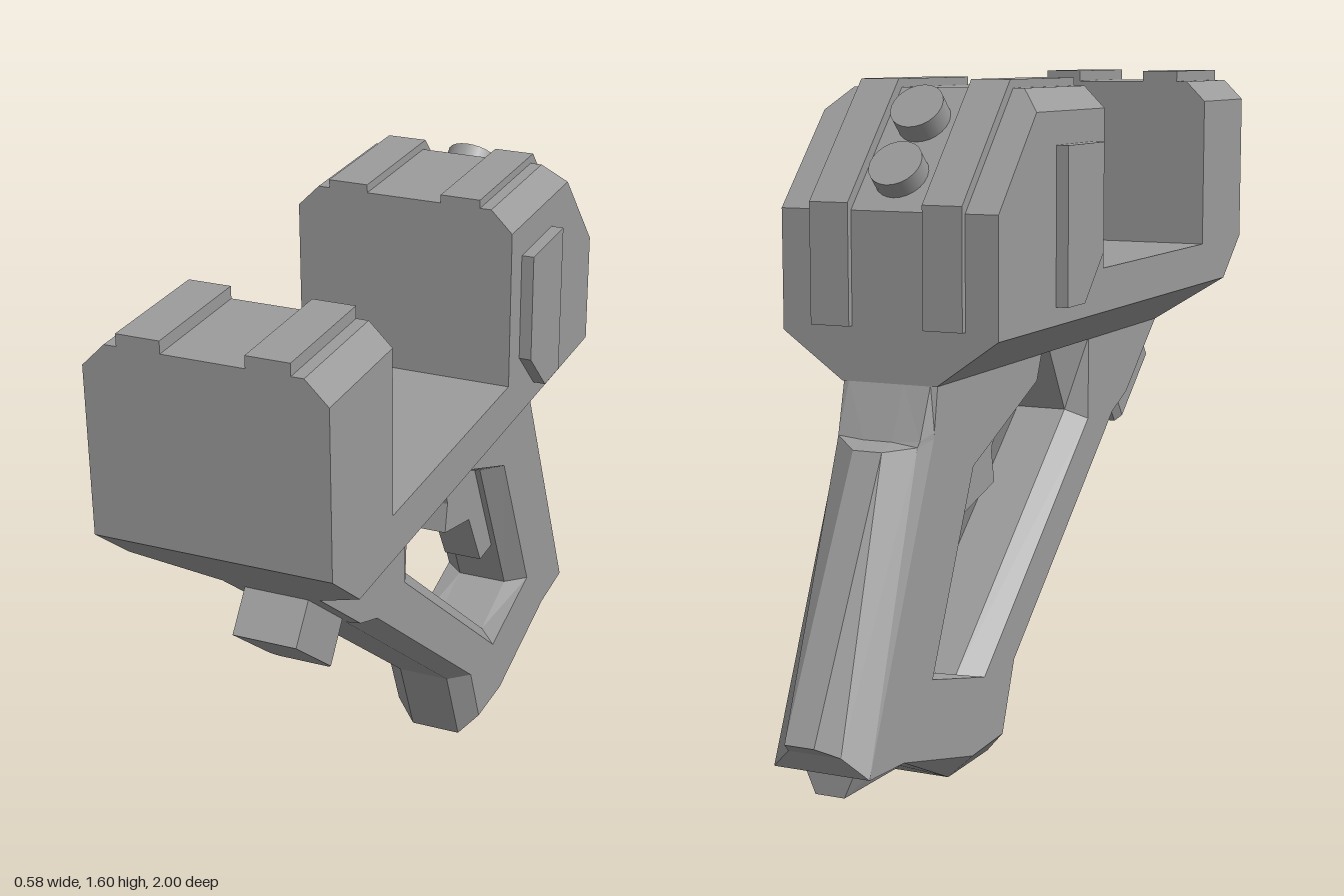
import * as THREE from 'three';
import { ConvexGeometry } from 'three/addons/geometries/ConvexGeometry.js';

const color = 0x9c9c9c;
const material = new THREE.MeshStandardMaterial({ color, flatShading: true });
const smoothMaterial = new THREE.MeshStandardMaterial({ color });

export function createModel() {
  const model = new THREE.Group();

  const add = (name, geometry, surface = material) => {
    const mesh = new THREE.Mesh(geometry, surface);
    mesh.name = name;
    model.add(mesh);
    return mesh;
  };

  // Convex solid from [x, y, z] points mirrored across x = 0
  const hull = (name, points) => add(name, new ConvexGeometry(
    points.flatMap(([x, y, z]) => [new THREE.Vector3(x, y, z), new THREE.Vector3(-x, y, z)])));

  // Side profile of [z, y] points extruded from x0 to x1
  const slab = (name, profile, x0, x1) => {
    const shape = new THREE.Shape(profile.map(p => new THREE.Vector2(...p)));
    const geometry = new THREE.ExtrudeGeometry(shape, { depth: x1 - x0, bevelEnabled: false });
    geometry.rotateY(-Math.PI / 2).translate(x1, 0, 0);
    return add(name, geometry);
  };

  // Body: tapered lower tray with a sloped nose, and two blocks on top
  hull('lowerBody', [
    [0.263, 1.143, 1], [0.263, 1.038, 0.87], [0.116, 0.933, 0.74],
    [0.263, 1.143, -0.587], [0.263, 1.038, -0.587], [0.116, 0.933, -0.587],
  ]);
  const blockSection = z => [[0.263, 1.143, z], [0.263, 1.517, z], [0.212, 1.568, z]];
  hull('frontBlock', [...blockSection(1), ...blockSection(0.695)]);
  hull('rearBlock', [
    ...blockSection(0),
    [0.212, 1.568, -0.342], [0.263, 1.517, -0.39], [0.263, 1.308, -0.587], [0.263, 1.143, -0.587],
  ]);

  // Raised rails and side panels
  for (const side of [-1, 1]) {
    const span = (a, b) => (side > 0 ? [a, b] : [-b, -a]);
    slab('frontRail', [[1, 1.56], [1, 1.595], [0.695, 1.595], [0.695, 1.56]], ...span(0.09, 0.185));
    slab('rearRail', [
      [0, 1.56], [0, 1.587], [-0.357, 1.587], [-0.602, 1.325], [-0.602, 1.055],
      [-0.57, 1.055], [-0.57, 1.3], [-0.335, 1.56],
    ], ...span(0.09, 0.185));
    slab('sidePanel', [
      [-0.07, 1.442], [-0.28, 1.442], [-0.28, 1.08], [-0.18, 1.08], [-0.07, 1.187],
    ], ...span(0.25, 0.292));
  }

  // Two round buttons on the rear slope
  const slopeNormal = new THREE.Vector3(0, 0.686, -0.728).normalize();
  for (const [y, z] of [[1.53, -0.446], [1.41, -0.55]]) {
    const geometry = new THREE.CylinderGeometry(0.062, 0.062, 0.08, 24).translate(0, -0.04, 0);
    const button = add('button', geometry, smoothMaterial);
    button.position.set(0, y, z);
    button.quaternion.setFromUnitVectors(new THREE.Vector3(0, 1, 0), slopeNormal);
  }

  // Handle, its faceted back and the wedge-shaped plate below
  add('handleFrame', frameGeometry());
  add('gripSpine', spineGeometry());
  hull('basePlate', [
    [0.065, 0.14, -0.68], [0.065, 0.155, -0.872], [0.035, 0.078, -0.61],
    [0.035, 0.086, -0.872], [0.035, 0.14, -0.61],
  ]);

  // Trigger with the finger rest below it
  slab('trigger', [
    [-0.05, 0.9], [-0.12, 0.825], [-0.155, 0.765], [-0.167, 0.715], [-0.152, 0.64], [-0.322, 0.595],
    [-0.412, 0.432], [-0.5, 0.432], [-0.45, 0.7], [-0.3, 0.9],
  ], -0.05, 0.05);

  // Square stud under the nose
  hull('frontStud', [
    [0.075, 0.936, 0.695], [0.075, 0.828, 0.78], [0.075, 0.685, 0.605], [0.06, 0.671, 0.588],
    [0.075, 0.796, 0.52], [0.06, 0.782, 0.503],
  ]);

  return model;
}

function triangle(positions, ...points) {
  points.forEach(p => positions.push(...p));
}

function quad(positions, a, b, c, d) {
  triangle(positions, a, c, b);
  triangle(positions, a, d, c);
}

function toGeometry(positions) {
  const geometry = new THREE.BufferGeometry();
  geometry.setAttribute('position', new THREE.Float32BufferAttribute(positions, 3));
  geometry.computeVertexNormals();
  return geometry;
}

// Back of the grip: half sections from neck to heel, mirrored and joined
function spineGeometry() {
  const sections = [
    [[0.115, 0.935, -0.58], [0.1, 0.935, -0.585], [0.035, 0.935, -0.585]],
    [[0.115, 0.835, -0.597], [0.1, 0.82, -0.637], [0.035, 0.815, -0.642]],
    [[0.115, 0.82, -0.6], [0.098, 0.808, -0.645], [0.035, 0.8, -0.69]],
    [[0.115, 0.148, -0.907], [0.063, 0.197, -0.935], [0.035, 0.232, -0.998]],
  ].map(half => [...half, ...half.map(([x, y, z]) => [-x, y, z]).reverse()]);
  const positions = [];
  for (let s = 0; s < sections.length - 1; s++) {
    const [upper, lower] = [sections[s], sections[s + 1]];
    for (let i = 0; i < 5; i++) quad(positions, upper[i], upper[i + 1], lower[i + 1], lower[i]);
  }
  const heel = sections.at(-1);
  quad(positions, heel[0], heel[1], heel[4], heel[5]);
  quad(positions, heel[1], heel[2], heel[3], heel[4]);
  return toGeometry(positions);
}

// Ring-shaped handle: each corner is [rim z, rim y, middle z, middle y]
function frameGeometry() {
  const outer = [
    [0.74, 0.98, 0.74, 0.98], [0.74, 0.933, 0.74, 0.933], [0.53, 0.763, 0.53, 0.763],
    [0.435, 0.725, 0.5, 0.739], [-0.18, 0.22, -0.136, 0.22], [-0.246, 0.055, -0.224, 0],
    [-0.41, 0.05, -0.436, 0], [-0.75, 0.138, -0.75, 0.134], [-0.907, 0.148, -0.907, 0.148],
    [-0.6, 0.82, -0.6, 0.82], [-0.58, 0.935, -0.58, 0.935], [-0.58, 0.98, -0.58, 0.98],
  ].reverse();
  const hole = [
    [0.27, 0.94, 0.126, 0.94], [0.27, 0.731, 0.235, 0.756], [-0.345, 0.22, -0.395, 0.231],
    [-0.612, 0.286, -0.567, 0.286], [-0.402, 0.727, -0.357, 0.725], [-0.05, 0.872, -0.1, 0.862],
    [-0.02, 0.94, -0.04, 0.94],
  ];
  const positions = [];

  // Chamfered walls of the outline and of the opening
  for (const loop of [outer, hole]) {
    const rings = [[-0.115, 0], [-0.065, 2], [0.065, 2], [0.115, 0]]
      .map(([x, k]) => loop.map(c => [x, c[k + 1], c[k]]));
    for (let r = 0; r < 3; r++) {
      for (let i = 0; i < loop.length; i++) {
        const j = (i + 1) % loop.length;
        quad(positions, rings[r][i], rings[r][j], rings[r + 1][j], rings[r + 1][i]);
      }
    }
  }

  // Flat side faces
  const flat = loop => loop.map(c => new THREE.Vector2(c[0], c[1]));
  const corners = [...outer, ...hole];
  for (const [a, b, c] of THREE.ShapeUtils.triangulateShape(flat(outer), [flat(hole)])) {
    const at = (x, i) => [x, corners[i][1], corners[i][0]];
    triangle(positions, at(-0.115, a), at(-0.115, b), at(-0.115, c));
    triangle(positions, at(0.115, a), at(0.115, c), at(0.115, b));
  }
  return toGeometry(positions);
}
